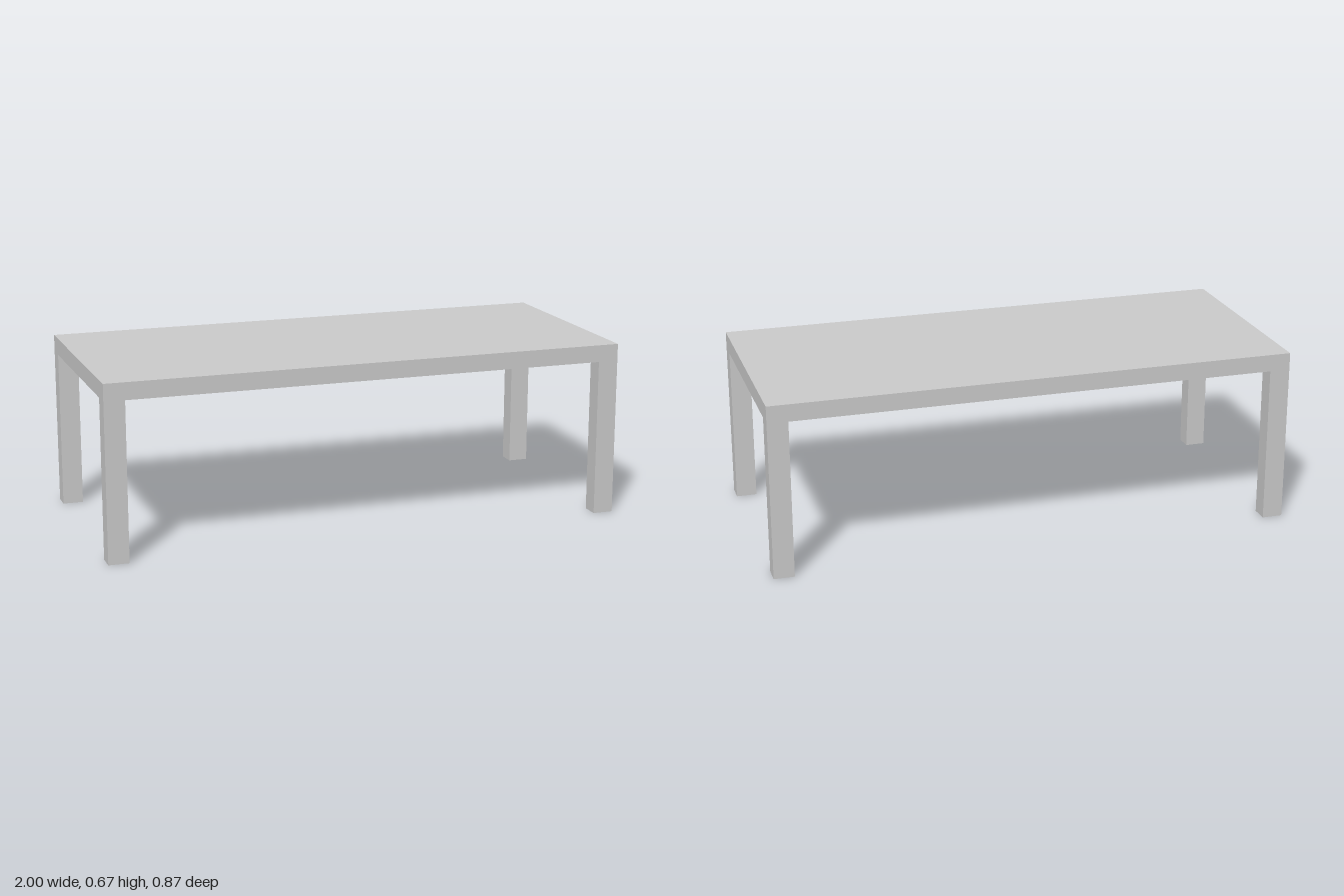
import * as THREE from 'three';

const LENGTH = 2, DEPTH = 0.866, HEIGHT = 0.667;
const TOP_THICKNESS = 0.065;
const LEG_X = 0.078, LEG_Z = 0.068;

export function createModel() {
  const table = new THREE.Group();
  table.name = 'table';
  const material = new THREE.MeshStandardMaterial({ color: 0xcccccc, flatShading: true });

  // Flat slab top
  const top = new THREE.Mesh(new THREE.BoxGeometry(LENGTH, TOP_THICKNESS, DEPTH), material);
  top.name = 'tableTop';
  top.position.y = HEIGHT - TOP_THICKNESS / 2;
  table.add(top);

  // Four legs flush with the corners
  const legHeight = HEIGHT - TOP_THICKNESS;
  const legGeometry = new THREE.BoxGeometry(LEG_X, legHeight, LEG_Z);
  for (const [sx, side] of [[1, 'Left'], [-1, 'Right']]) {
    for (const [sz, end] of [[1, 'front'], [-1, 'back']]) {
      const leg = new THREE.Mesh(legGeometry, material);
      leg.name = `${end}${side}Leg`;
      leg.position.set(sx * (LENGTH - LEG_X) / 2, legHeight / 2, sz * (DEPTH - LEG_Z) / 2);
      table.add(leg);
    }
  }
  return table;
}
